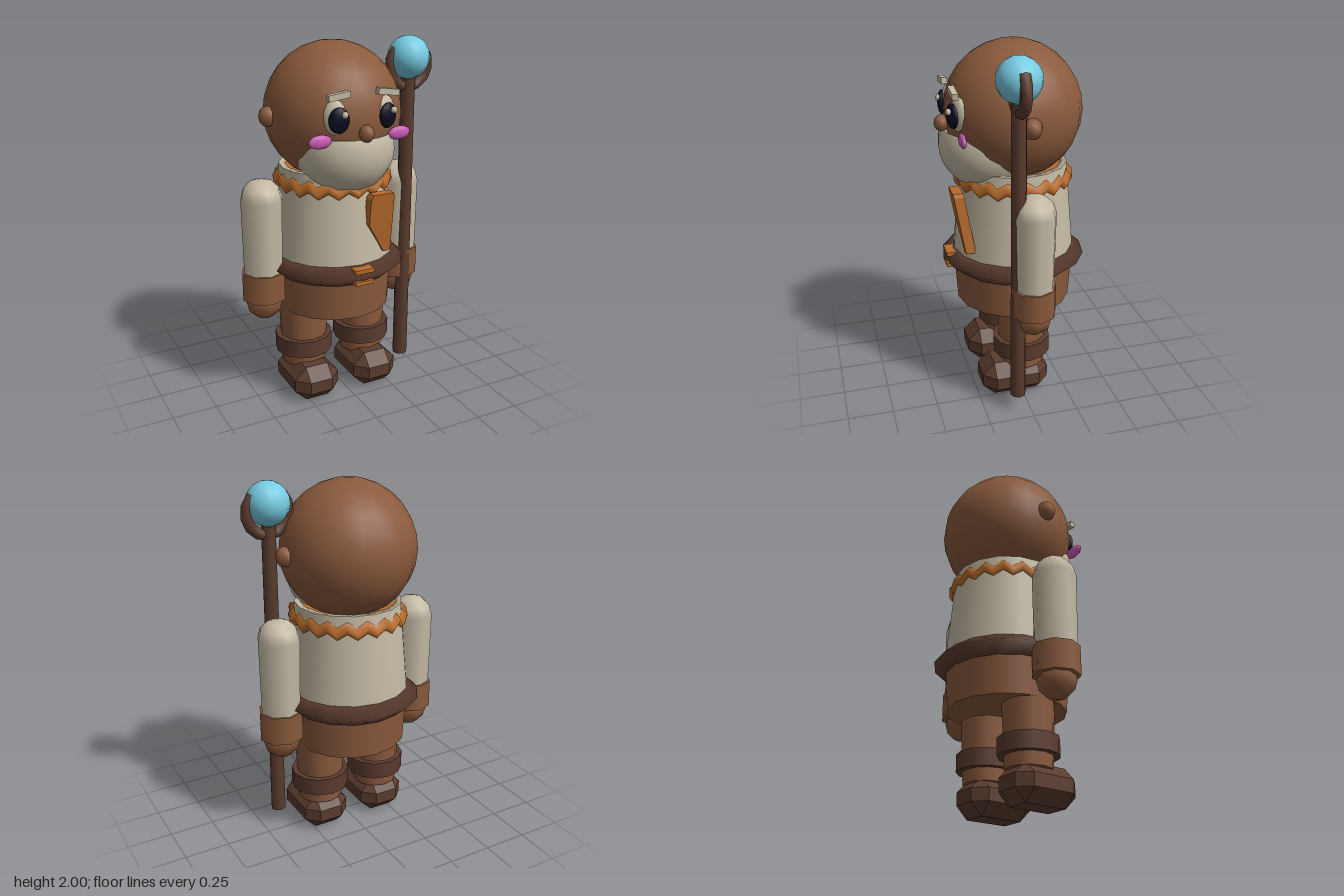
import * as THREE from 'three';
import { ConvexGeometry } from 'three/addons/geometries/ConvexGeometry.js';

const material = (name, color, side = THREE.FrontSide) => {
  const m = new THREE.MeshStandardMaterial({ color, side });
  m.name = name;
  return m;
};

export function createModel() {
  const group = new THREE.Group();
  const skin = material('brown', 0x8a5a3c);
  const leather = material('dark leather', 0x5a3b2e);
  const cream = material('cream', 0xc4baa4, THREE.DoubleSide);
  const orange = material('orange', 0xb86c2a, THREE.DoubleSide);
  const pink = material('pink', 0xcc5cb8);
  const navy = material('navy', 0x0a0c20);
  const blue = material('sky blue', 0x76cbe2);
  const CX = -0.015, CZ = -0.015; // body axis

  const add = (name, geo, mat, x = 0, y = 0, z = 0) => {
    const mesh = new THREE.Mesh(geo, mat);
    mesh.name = name;
    mesh.position.set(x, y, z);
    group.add(mesh);
    return mesh;
  };
  const ball = (name, mat, x, y, z, rx, ry = rx, rz = rx, w = 12, h = 8) => {
    const mesh = add(name, new THREE.SphereGeometry(1, w, h), mat, x, y, z);
    mesh.scale.set(rx, ry, rz);
    return mesh;
  };
  // cylinder between two heights
  const tube = (name, mat, x, z, y0, y1, r0, r1, sides) =>
    add(name, new THREE.CylinderGeometry(r1, r0, y1 - y0, sides), mat, x, (y0 + y1) / 2, z);
  const lathe = (pts, sides) =>
    new THREE.LatheGeometry(pts.map(([r, y]) => new THREE.Vector2(r, y)), sides);
  // box with all edges and corners cut off
  const chamferBox = (w, h, d, c) => {
    const pts = [];
    for (const sx of [-1, 1]) for (const sy of [-1, 1]) for (const sz of [-1, 1]) {
      const [x, y, z] = [w / 2, h / 2, d / 2];
      pts.push(new THREE.Vector3(sx * x, sy * (y - c), sz * (z - c)),
        new THREE.Vector3(sx * (x - c), sy * y, sz * (z - c)),
        new THREE.Vector3(sx * (x - c), sy * (y - c), sz * z));
    }
    return new ConvexGeometry(pts);
  };

  // Head
  ball('head', skin, CX, 1.62, CZ, 0.37, 0.37, 0.37, 20, 14);
  ball('nose', skin, CX, 1.572, 0.37, 0.041, 0.045, 0.041, 8, 6);
  const beard = add('beard', new THREE.SphereGeometry(1, 20, 10, 0, Math.PI * 2, 1.2, Math.PI - 1.2),
    cream, CX, 1.45, 0.125);
  beard.scale.set(0.268, 0.252, 0.265);

  for (const s of [-1, 1]) {
    ball('ear', skin, CX + s * 0.37, 1.62, CZ, 0.052, 0.055, 0.052, 8, 6);
    const eye = ball('eyeWhite', cream, CX + s * 0.142, 1.652, 0.303, 0.064, 0.09, 0.035);
    eye.rotation.y = s * 0.4;
    const pupil = ball('pupil', navy, CX + s * 0.138, 1.645, 0.338, 0.054, 0.066, 0.025);
    pupil.rotation.y = s * 0.25;
    ball('eyeHighlight', cream, CX + s * 0.138 + 0.022, 1.675, 0.362, 0.018, 0.018, 0.015, 8, 6);
    const brow = add('eyebrow', new THREE.BoxGeometry(0.118, 0.032, 0.032), cream,
      CX + s * 0.138, 1.765, 0.332);
    brow.rotation.z = -s * 0.13;
    ball('cheek', pink, CX + s * 0.226, 1.54, 0.307, 0.065, 0.036, 0.018, 10, 8);
  }

  // Tunic with a folded rim and an orange lining
  add('tunic', lathe([[0.342, 0.8], [0.293, 1.335]], 16), cream, CX, 0, CZ);
  add('tunicRim', lathe([[0.293, 1.335], [0.262, 1.335], [0.262, 1.28]], 16), cream, CX, 0, CZ);
  add('tunicLining', lathe([[0.262, 1.32], [0.02, 1.31]], 16), orange, CX, 0, CZ);

  // Zigzag collar trim: every second column is lifted
  const trim = lathe([[0.306, 1.225], [0.327, 1.255], [0.296, 1.29]], 36);
  const tp = trim.attributes.position;
  for (let i = 0; i < tp.count; i++) {
    const column = Math.floor(i / 3) % 2;
    tp.setY(i, tp.getY(i) + (column ? 0.017 : -0.017));
  }
  trim.computeVertexNormals();
  add('collarTrim', trim, orange, CX, 0, CZ);

  // Hanging scarf end, leaning back towards its tip
  const scarfShape = new THREE.Shape([[0.045, 1.235], [0.03, 1.21], [0.035, 1.06], [0.14, 0.887],
    [0.18, 0.89], [0.168, 1.215], [0.16, 1.235]].map(([x, y]) => new THREE.Vector2(x, y)));
  const scarf = new THREE.ExtrudeGeometry(scarfShape, { depth: 0.055, bevelEnabled: false });
  const sp = scarf.attributes.position;
  for (let i = 0; i < sp.count; i++) sp.setZ(i, sp.getZ(i) + 0.27 + (sp.getY(i) - 1.06) * 0.17);
  scarf.computeVertexNormals();
  add('scarfEnd', scarf, orange);

  // Belt, buckle and breeches
  const belt = add('belt', new THREE.TorusGeometry(0.335, 0.065, 4, 16), leather, CX, 0.792, CZ);
  belt.rotation.x = Math.PI / 2;
  belt.scale.z = 0.88;
  for (const s of [-1, 1]) {
    add('buckleBar', new THREE.BoxGeometry(0.11, 0.022, 0.06), orange, CX, 0.795 + s * 0.033, 0.345);
  }
  tube('breeches', skin, CX, CZ, 0.53, 0.78, 0.322, 0.337, 16);

  // Legs and arms
  for (const s of [-1, 1]) {
    const lx = CX + s * 0.186;
    tube('leg', skin, lx, CZ, 0.18, 0.56, 0.125, 0.14, 12);
    tube('bootCuff', leather, lx, CZ, 0.25, 0.347, 0.162, 0.162, 12);
    add('boot', chamferBox(0.268, 0.205, 0.382, 0.067), leather, lx, 0.1025, 0.037);

    const ax = CX + s * 0.42;
    tube('sleeve', cream, ax, CZ, 0.76, 1.18, 0.112, 0.118, 8);
    ball('shoulder', cream, ax, 1.18, CZ, 0.118, 0.112, 0.118, 8, 6);
    tube('sleeveCuff', skin, ax, CZ, 0.61, 0.77, 0.124, 0.124, 8);
    ball('hand', skin, ax, 0.59, CZ, 0.104, 0.104, 0.104, 8, 6);
  }

  // Staff with a cradled orb
  tube('staff', leather, 0.403, 0.068, 0.1, 1.77, 0.043, 0.04, 8);
  ball('orb', blue, 0.403, 1.882, 0.068, 0.116, 0.116, 0.116, 14, 10);
  const cradle = add('orbCradle', new THREE.TorusGeometry(0.118, 0.031, 6, 10, Math.PI * 1.5),
    leather, 0.405, 1.84, 0.068);
  cradle.rotation.z = Math.PI * 0.75;

  return group;
}
